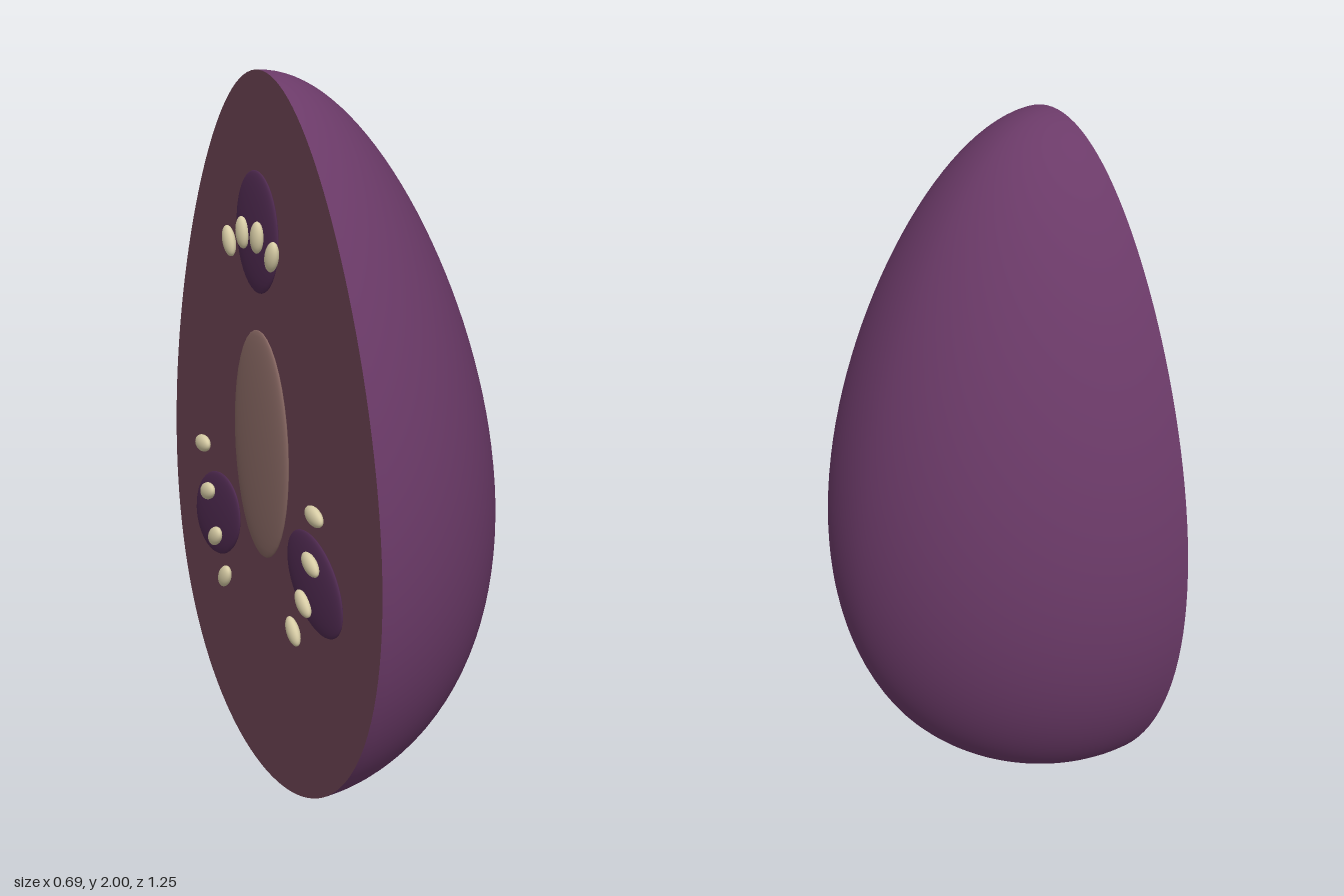
import * as THREE from 'three';
import { mergeVertices } from 'three/addons/utils/BufferGeometryUtils.js';

const CUT_X = -0.297; // plane of the flat cut face, which looks toward -x
const MID_Y = 1.01;   // centre of the ring of details

function material(name, color, side = THREE.FrontSide) {
  const m = new THREE.MeshStandardMaterial({ color, side });
  m.name = name;
  return m;
}

// egg outline: radius and height from bottom (t = 0) to top (t = 1)
function eggProfile(count) {
  const points = [];
  for (let i = 0; i <= count; i++) {
    const a = Math.PI * (1 - i / count);
    const r = 0.61 * Math.sin(a) * (1 - 0.23 * Math.cos(a));
    points.push(new THREE.Vector2(Math.max(r, 0), 1 + Math.cos(a)));
  }
  return points;
}

// half egg, with a slightly pointed cross-section
function skinGeometry() {
  let geo = new THREE.LatheGeometry(eggProfile(64), 64, 0, Math.PI);
  const pos = geo.attributes.position;
  const p = 1.86;
  for (let i = 0; i < pos.count; i++) {
    const x = Math.max(pos.getX(i), 0), z = pos.getZ(i);
    const r = Math.hypot(x, z);
    if (r < 1e-6) continue;
    const f = Math.pow(Math.pow(x / r, p) + Math.pow(Math.abs(z) / r, p), -1 / p);
    pos.setX(i, x * f * 1.025);
    pos.setZ(i, z * f);
  }
  geo.deleteAttribute('uv');
  geo.deleteAttribute('normal');
  geo = mergeVertices(geo, 1e-5);
  geo.computeVertexNormals();
  return geo;
}

// flat egg-shaped face closing the half egg
function cutGeometry() {
  const half = eggProfile(64);
  const other = half.slice(1, -1).reverse().map(v => new THREE.Vector2(-v.x, v.y));
  const geo = new THREE.ShapeGeometry(new THREE.Shape([...half, ...other]));
  return geo.rotateY(-Math.PI / 2);
}

export function createModel() {
  const model = new THREE.Group();
  model.name = 'halvedFruit';

  const skinMat = material('purple skin', 0x6b3a68);
  const fleshMat = material('mauve flesh', 0x68404f, THREE.DoubleSide);
  const coreMat = material('dusty core', 0x876762);
  const chamberMat = material('dark chamber', 0x4f2a50);
  const seedMat = material('cream seed', 0xd8cda6);

  const skin = new THREE.Mesh(skinGeometry(), skinMat);
  skin.name = 'skin';
  skin.position.x = CUT_X;
  const flesh = new THREE.Mesh(cutGeometry(), fleshMat);
  flesh.name = 'cutFace';
  flesh.position.x = CUT_X;
  model.add(skin, flesh);

  // flattened ellipsoid on the cut face, its long axis turned by angle
  const ball = new THREE.SphereGeometry(1, 32, 20);
  function blob(name, mat, x, y, z, thick, long, wide, angle) {
    const mesh = new THREE.Mesh(ball, mat);
    mesh.name = name;
    mesh.position.set(x, y, z);
    mesh.scale.set(thick, long, wide);
    mesh.rotation.x = angle;
    model.add(mesh);
  }
  const ringY = a => MID_Y + 0.58 * Math.cos(a);
  const ringZ = a => 0.346 * Math.sin(a);

  blob('core', coreMat, -0.312, MID_Y, 0, 0.02, 0.32, 0.16, 0);

  // three chambers, each with an arc of four seeds
  for (let i = 0; i < 3; i++) {
    const a = (i * Math.PI * 2) / 3;
    blob('chamber', chamberMat, -0.311, ringY(a), ringZ(a), 0.016, 0.16, 0.12, a);
    for (let j = 0; j < 4; j++) {
      const s = a + (j - 1.5) * 0.25;
      blob('seed', seedMat, -0.333, ringY(s), ringZ(s), 0.016, 0.042, 0.025, s);
    }
  }
  return model;
}
